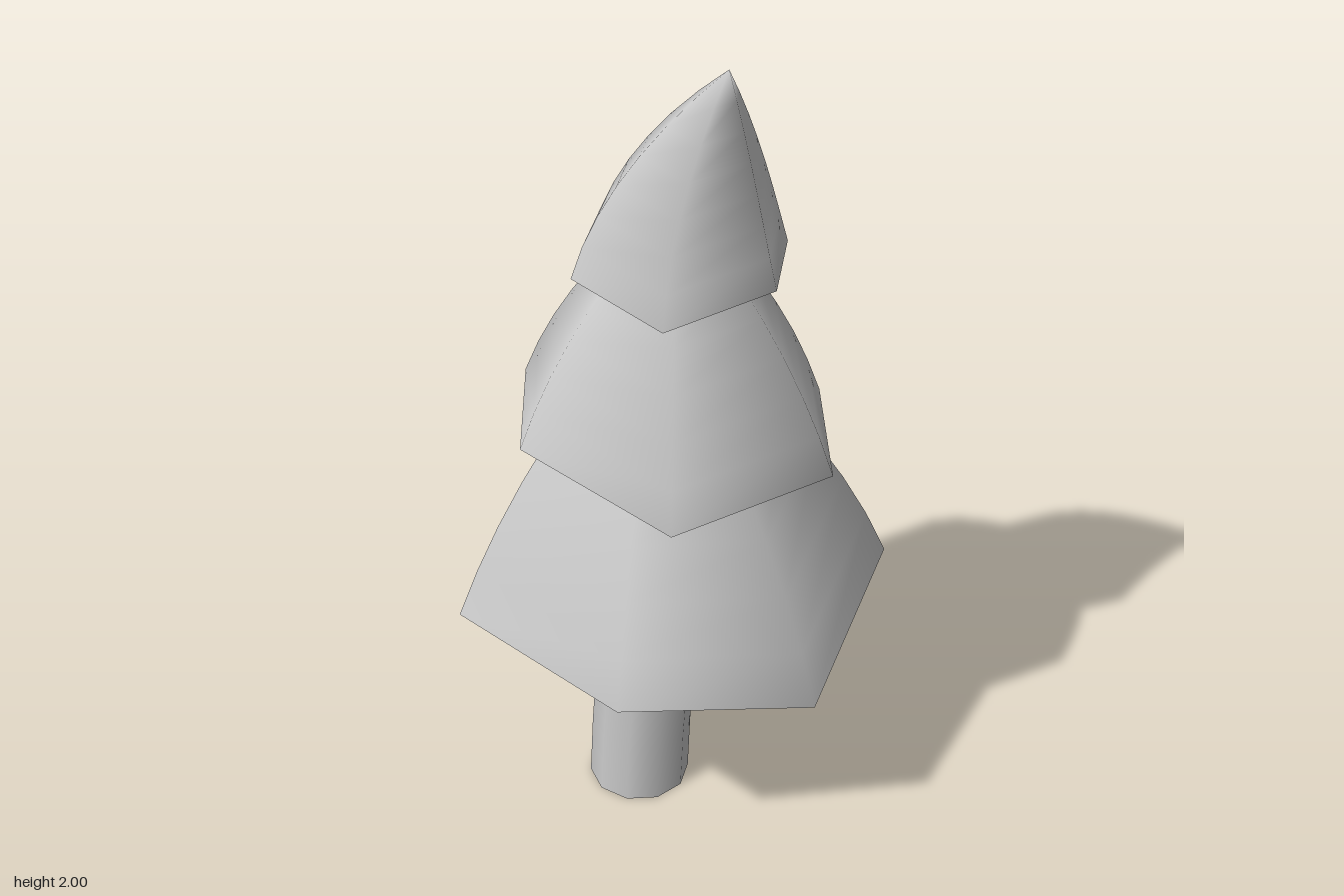
import * as THREE from 'three';

const material = new THREE.MeshStandardMaterial({ color: 0xcccccc });
const RINGS = 7;

// Each tier: uneven hexagonal rim (x, y, z), leaning apex, and the rim corner its underside fans from
const tiers = [
  {
    name: 'lowerFoliage', apex: [0, 1.36, 0.06], fan: 4,
    rim: [[0.455, 0.45, -0.015], [0.24, 0.565, -0.425], [-0.29, 0.535, -0.385],
      [-0.455, 0.55, 0.065], [-0.29, 0.48, 0.42], [0.24, 0.515, 0.38]],
  },
  {
    name: 'middleFoliage', apex: [0.08, 1.65, 0.07], fan: 5,
    rim: [[0.35, 0.975, -0.145], [0.08, 0.97, -0.35], [-0.275, 1.06, -0.23],
      [-0.35, 1.025, 0.16], [-0.11, 1.027, 0.36], [0.26, 0.945, 0.24]],
  },
  {
    name: 'topFoliage', apex: [0.225, 2, 0.06], fan: 5,
    rim: [[0.28, 1.47, -0.03], [0.13, 1.455, -0.195], [-0.1, 1.465, -0.135],
      [-0.19, 1.425, 0.09], [-0.05, 1.455, 0.255], [0.18, 1.41, 0.195]],
  },
];

function buildGeometry(positions, index) {
  let geometry = new THREE.BufferGeometry();
  geometry.setAttribute('position', new THREE.Float32BufferAttribute(positions, 3));
  geometry.setIndex(index);
  return geometry;
}

// Bulging hexagonal cone whose centre line bends towards the apex
function foliageSide({ rim, apex }) {
  const n = rim.length;
  const cx = rim.reduce((sum, p) => sum + p[0], 0) / n;
  const cz = rim.reduce((sum, p) => sum + p[2], 0) / n;
  const positions = [];
  const index = [];
  for (let r = 0; r < RINGS; r++) {
    const t = r / RINGS;
    const scale = 1 - 0.6 * t - 0.4 * t * t;
    const bend = Math.pow(t, 1.7);
    for (const [x, y, z] of rim) {
      positions.push(
        cx + (apex[0] - cx) * bend + (x - cx) * scale,
        y + (apex[1] - y) * t,
        cz + (apex[2] - cz) * bend + (z - cz) * scale,
      );
    }
  }
  positions.push(...apex);
  for (let r = 0; r < RINGS; r++) {
    for (let i = 0; i < n; i++) {
      const a = r * n + i;
      const b = r * n + (i + 1) % n;
      if (r === RINGS - 1) index.push(a, b, RINGS * n);
      else index.push(a, b, b + n, a, b + n, a + n);
    }
  }
  const geometry = buildGeometry(positions, index);
  geometry.computeVertexNormals();
  return geometry;
}

// Slightly folded underside
function foliageUnderside({ rim, fan }) {
  const n = rim.length;
  const index = [];
  for (let k = 1; k < n - 1; k++) index.push(fan, (fan + k + 1) % n, (fan + k) % n);
  const geometry = buildGeometry(rim.flat(), index).toNonIndexed();
  geometry.computeVertexNormals();
  return geometry;
}

function addMesh(parent, name, geometry) {
  const mesh = new THREE.Mesh(geometry, material);
  mesh.name = name;
  parent.add(mesh);
}

export function createModel() {
  const tree = new THREE.Group();
  tree.name = 'tree';

  // Trunk: cylinder sheared so that its foot sits further forward
  const trunk = new THREE.CylinderGeometry(0.115, 0.117, 0.62, 10, 4);
  trunk.translate(-0.03, 0.31, 0);
  const p = trunk.attributes.position;
  for (let i = 0; i < p.count; i++) {
    const y = p.getY(i);
    p.setZ(i, p.getZ(i) + 0.1 - 0.04 * y - 0.1 * y * y);
  }
  addMesh(tree, 'trunk', trunk);

  // Three stacked tiers of foliage
  for (const tier of tiers) {
    const group = new THREE.Group();
    group.name = tier.name;
    addMesh(group, tier.name + 'Side', foliageSide(tier));
    addMesh(group, tier.name + 'Underside', foliageUnderside(tier));
    tree.add(group);
  }
  return tree;
}
